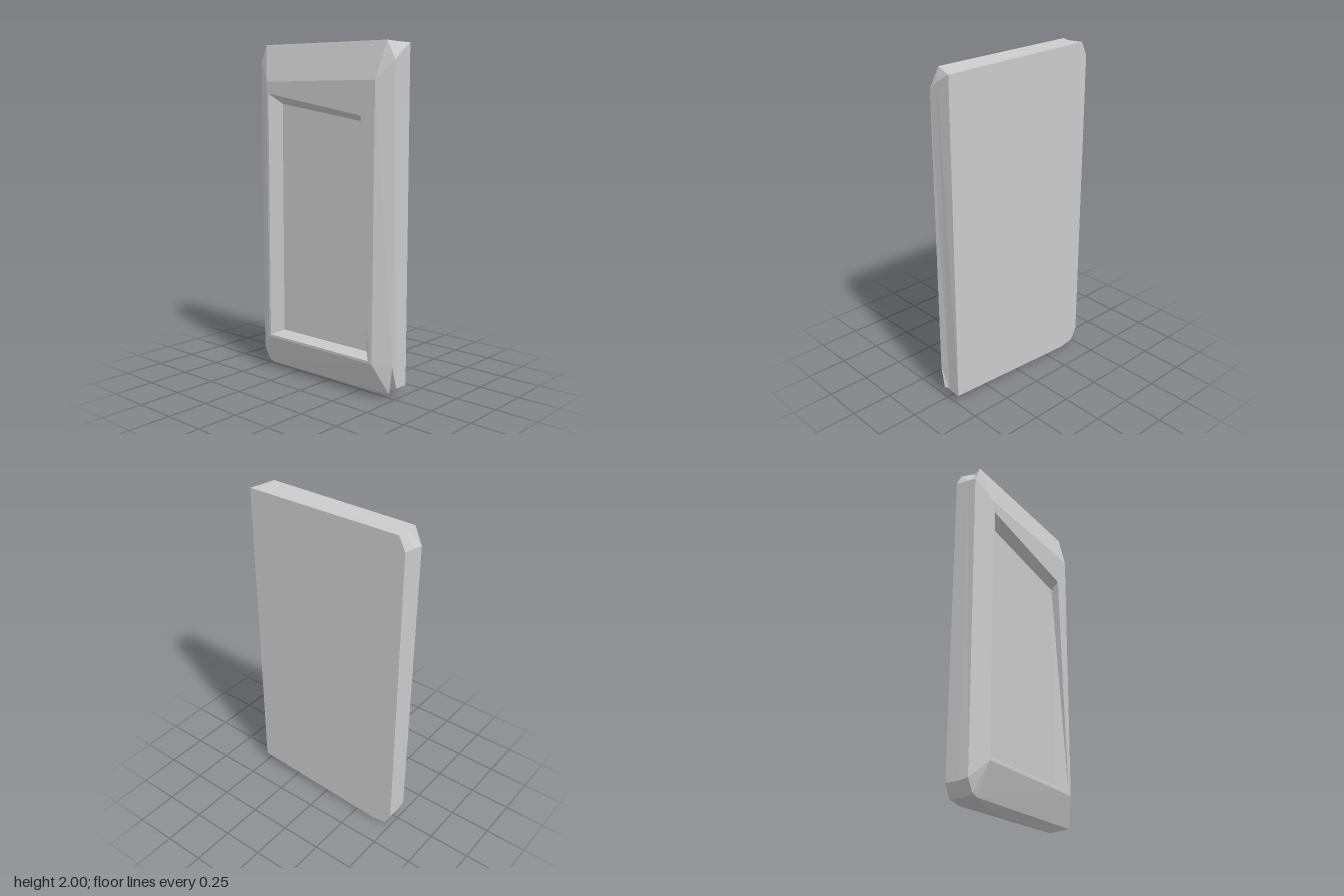
import * as THREE from 'three';

// Cross-sections of the slab: x position and nine [z, y] corners, starting at
// the lower front corner and running along the bottom, up the back and forward.
const corners = (a, b, c, d) => [a, a, b, b, b, c, c, d, d];
const backFace = { x: 0.1, p: [[0.5, 0.06], [0.5, 0.06], [-0.38, 0.01], [-0.47, 0.025], [-0.51, 0.1],
  [-0.51, 1.92], [-0.47, 2], [0.5, 1.98], [0.5, 1.98]] };
const keel = { x: 0.015, p: [[0.498, 0.06], [0.36, 0], [-0.22, 0], [-0.47, 0.025], [-0.512, 0.1],
  [-0.512, 1.91], [-0.445, 2], [0.47, 1.985], [0.506, 1.93]] };
const rim = { x: -0.04, p: [[0.51, 0.2], [0.49, 0.04], [-0.43, 0.025], [-0.47, 0.04], [-0.51, 0.11],
  [-0.515, 1.9], [-0.47, 2], [0.45, 1.99], [0.51, 1.885]] };
const crest = { x: -0.1, p: corners([0.41, 0.21], [-0.41, 0.21], [-0.41, 1.78], [0.42, 1.78]) };
const opening = { x: -0.1, p: corners([0.385, 0.225], [-0.395, 0.225], [-0.395, 1.71], [0.32, 1.59]) };
const recess = { x: -0.045, p: corners([0.33, 0.257], [-0.33, 0.257], [-0.33, 1.65], [0.33, 1.55]) };

const point = (ring, i) => {
  const [z, y] = ring.p[i % ring.p.length];
  return new THREE.Vector3(ring.x, y, z);
};

// Joins consecutive rings with flat faces
function loft(rings) {
  const tris = [];
  for (let r = 0; r + 1 < rings.length; r++) {
    for (let i = 0; i < 9; i++) {
      const a = point(rings[r], i), b = point(rings[r], i + 1);
      const c = point(rings[r + 1], i), d = point(rings[r + 1], i + 1);
      tris.push([a, c, b], [b, c, d]);
    }
  }
  return tris;
}

// Closes a ring with a fan, facing +x or, when flipped, -x
function cap(ring, flip) {
  const tris = [];
  for (let i = 1; i < 8; i++) {
    const t = [point(ring, 0), point(ring, i), point(ring, i + 1)];
    tris.push(flip ? t.reverse() : t);
  }
  return tris;
}

export function createModel() {
  const group = new THREE.Group();
  group.name = 'framedSlab';
  const material = new THREE.MeshStandardMaterial({ color: 0xcccccc, flatShading: true });

  const add = (name, tris) => {
    // Leave out the collapsed triangles at repeated corners
    const solid = tris.filter(([a, b, c]) => new THREE.Triangle(a, b, c).getArea() > 1e-7);
    const geometry = new THREE.BufferGeometry().setFromPoints(solid.flat());
    geometry.computeVertexNormals();
    const mesh = new THREE.Mesh(geometry, material);
    mesh.name = name;
    group.add(mesh);
  };

  add('backPlate', cap(backFace, false));
  add('outerEdge', loft([backFace, keel, rim]));
  add('bevelledFrame', loft([rim, crest, opening]));
  add('recessWalls', loft([opening, recess]));
  add('recessedPanel', cap(recess, true));
  return group;
}
